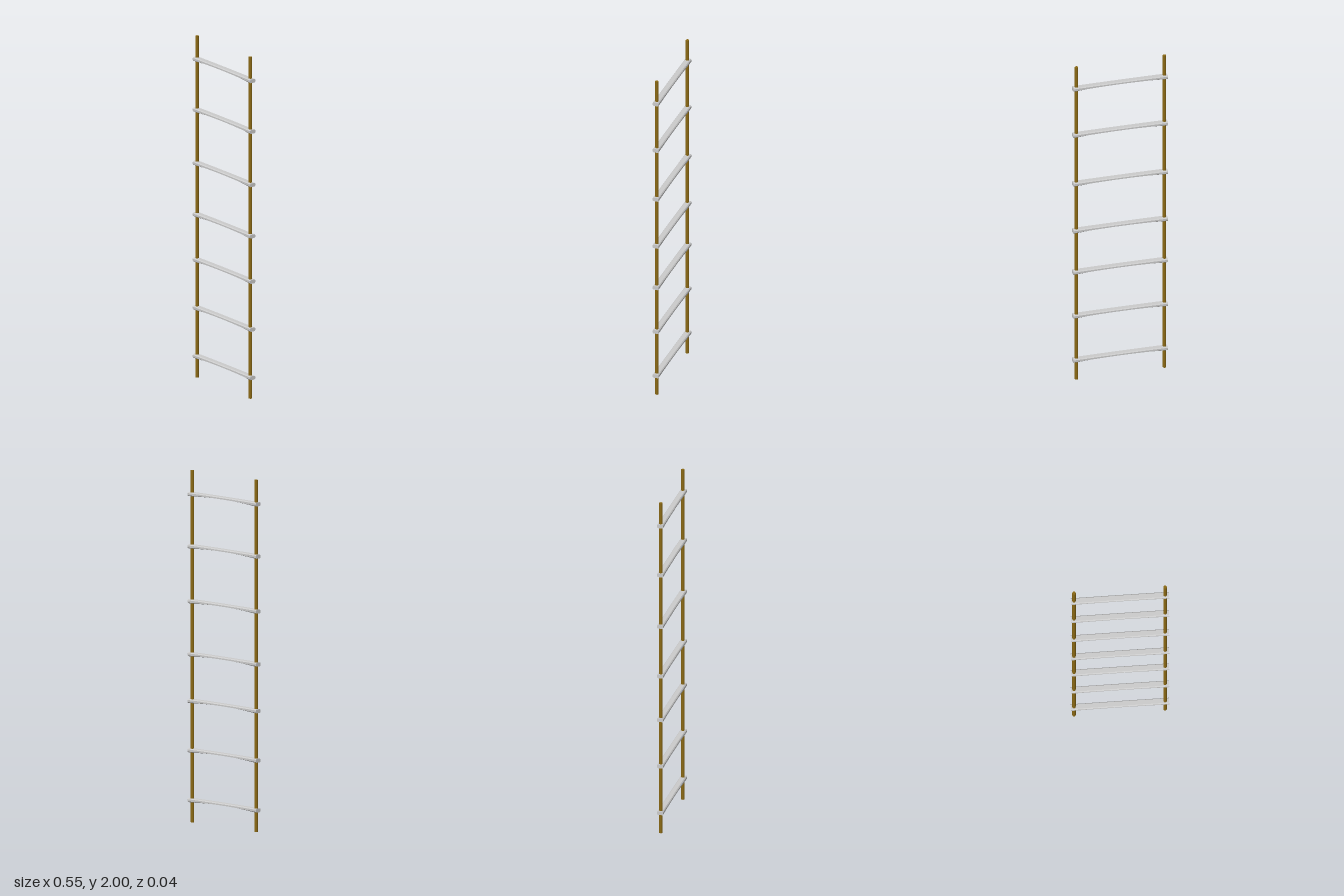
import * as THREE from 'three';

const ROPE_X = [-0.259, 0.254];
const ROPE_RADIUS = 0.01;
const RUNG_Y = [0.124, 0.407, 0.688, 0.953, 1.254, 1.566, 1.863];
const RUNG_LENGTH = 0.552;
const HALF_DEPTH = 0.018, HALF_HEIGHT = 0.011, CHAMFER = 0.005;

// Chamfered bar along x, thinned by an arched underside between the ropes
function rungGeometry() {
  const d = HALF_DEPTH, h = HALF_HEIGHT, c = CHAMFER;
  const section = new THREE.Shape([
    [-d + c, -h], [d - c, -h], [d, -h + c], [d, h - c],
    [d - c, h], [-d + c, h], [-d, h - c], [-d, -h + c],
  ].map(([x, y]) => new THREE.Vector2(x, y)));
  const geometry = new THREE.ExtrudeGeometry(section, { depth: RUNG_LENGTH, steps: 24, bevelEnabled: false });
  geometry.translate(0, 0, -RUNG_LENGTH / 2);
  geometry.rotateY(Math.PI / 2);
  const p = geometry.attributes.position;
  for (let i = 0; i < p.count; i++) {
    const t = Math.min(1, Math.abs(p.getX(i)) / 0.25);
    const arch = 1 - t * t;
    const y = p.getY(i);
    p.setY(i, y < 0 ? y * (1 - 0.9 * arch) : y + 0.001 * arch);
  }
  geometry.computeVertexNormals();
  return geometry;
}

export function createModel() {
  const model = new THREE.Group();
  model.name = 'ropeLadder';
  const ropeMaterial = new THREE.MeshStandardMaterial({ color: 0x8b6914 });
  const rungMaterial = new THREE.MeshStandardMaterial({ color: 0xcccccc });

  // Two vertical ropes
  const ropeGeometry = new THREE.CylinderGeometry(ROPE_RADIUS, ROPE_RADIUS, 2, 16);
  ROPE_X.forEach((x, i) => {
    const rope = new THREE.Mesh(ropeGeometry, ropeMaterial);
    rope.name = i === 0 ? 'rightRope' : 'leftRope';
    rope.position.set(x, 1, 0);
    model.add(rope);
  });

  // Rungs at slightly uneven heights
  const geometry = rungGeometry();
  RUNG_Y.forEach((y, i) => {
    const rung = new THREE.Mesh(geometry, rungMaterial);
    rung.name = `rung${i + 1}`;
    rung.position.y = y;
    model.add(rung);
  });
  return model;
}
